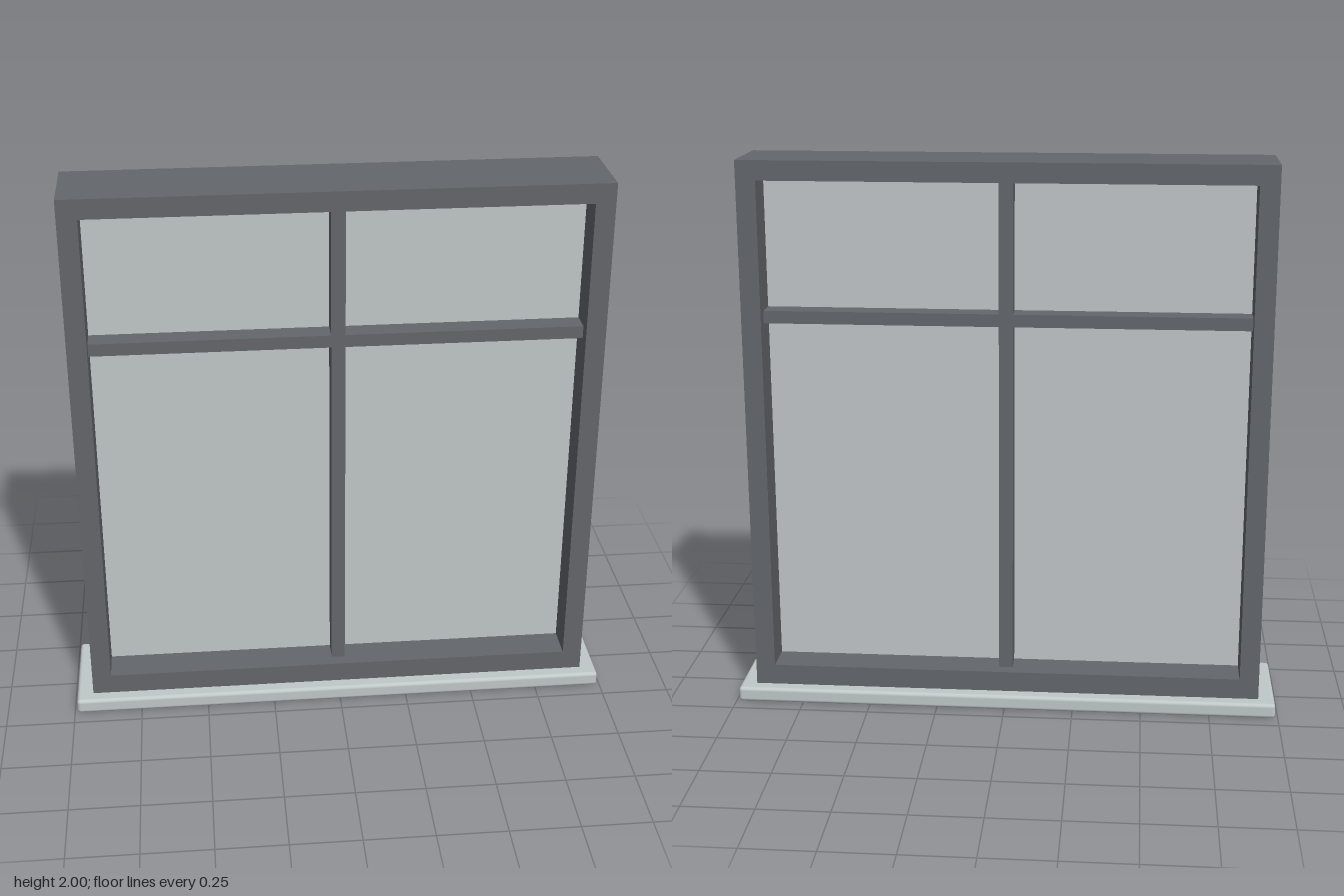
import * as THREE from 'three';
import { RoundedBoxGeometry } from 'three/addons/geometries/RoundedBoxGeometry.js';

const material = (name, color) => {
  const m = new THREE.MeshStandardMaterial({ color });
  m.name = name;
  return m;
};

export function createModel() {
  const group = new THREE.Group();
  group.name = 'window';
  const frameGrey = material('frameGrey', 0x63666b);
  const paneGrey = material('paneGrey', 0xc1c6c8);
  const sillGrey = material('sillGrey', 0xc0c8c8);

  const add = (name, geometry, mat, x, y, z = 0) => {
    const mesh = new THREE.Mesh(geometry, mat);
    mesh.name = name;
    mesh.position.set(x, y, z);
    group.add(mesh);
    return mesh;
  };

  const sillTop = 0.055, halfWidth = 0.93, halfDepth = 0.147;
  const inner = { x: 0.86, bottom: 0.13, top: 1.93 };
  const bar = { x: 0.025, bottom: 1.42, top: 1.465, depth: 0.2 };

  // Sill slab with softened edges
  add('sill', new RoundedBoxGeometry(1.98, sillTop, 0.39, 3, 0.013), sillGrey, 0, sillTop / 2);

  // Outer frame with one large opening
  const rect = (Type, x, y0, y1) => new Type([
    new THREE.Vector2(-x, y0), new THREE.Vector2(x, y0),
    new THREE.Vector2(x, y1), new THREE.Vector2(-x, y1),
  ]);
  const outline = rect(THREE.Shape, halfWidth, sillTop - 0.003, 2);
  outline.holes.push(rect(THREE.Path, inner.x, inner.bottom, inner.top));
  add('frame', new THREE.ExtrudeGeometry(outline, { depth: 2 * halfDepth, bevelEnabled: false }),
    frameGrey, 0, 0, -halfDepth);

  // Central mullion
  add('mullion', new THREE.BoxGeometry(2 * bar.x, inner.top - inner.bottom, bar.depth),
    frameGrey, 0, (inner.top + inner.bottom) / 2);

  // Crossbars and panes on each side of the mullion
  const width = inner.x - bar.x;
  for (const side of [-1, 1]) {
    const label = side > 0 ? 'left' : 'right';
    const x = side * (inner.x + bar.x) / 2;
    add(`${label}Crossbar`, new THREE.BoxGeometry(width, bar.top - bar.bottom, bar.depth),
      frameGrey, x, (bar.top + bar.bottom) / 2);
    for (const [level, y0, y1] of [['Lower', inner.bottom, bar.bottom], ['Upper', bar.top, inner.top]]) {
      add(`${label}${level}Pane`, new THREE.BoxGeometry(width, y1 - y0, 0.04), paneGrey, x, (y0 + y1) / 2);
    }
  }
  return group;
}
